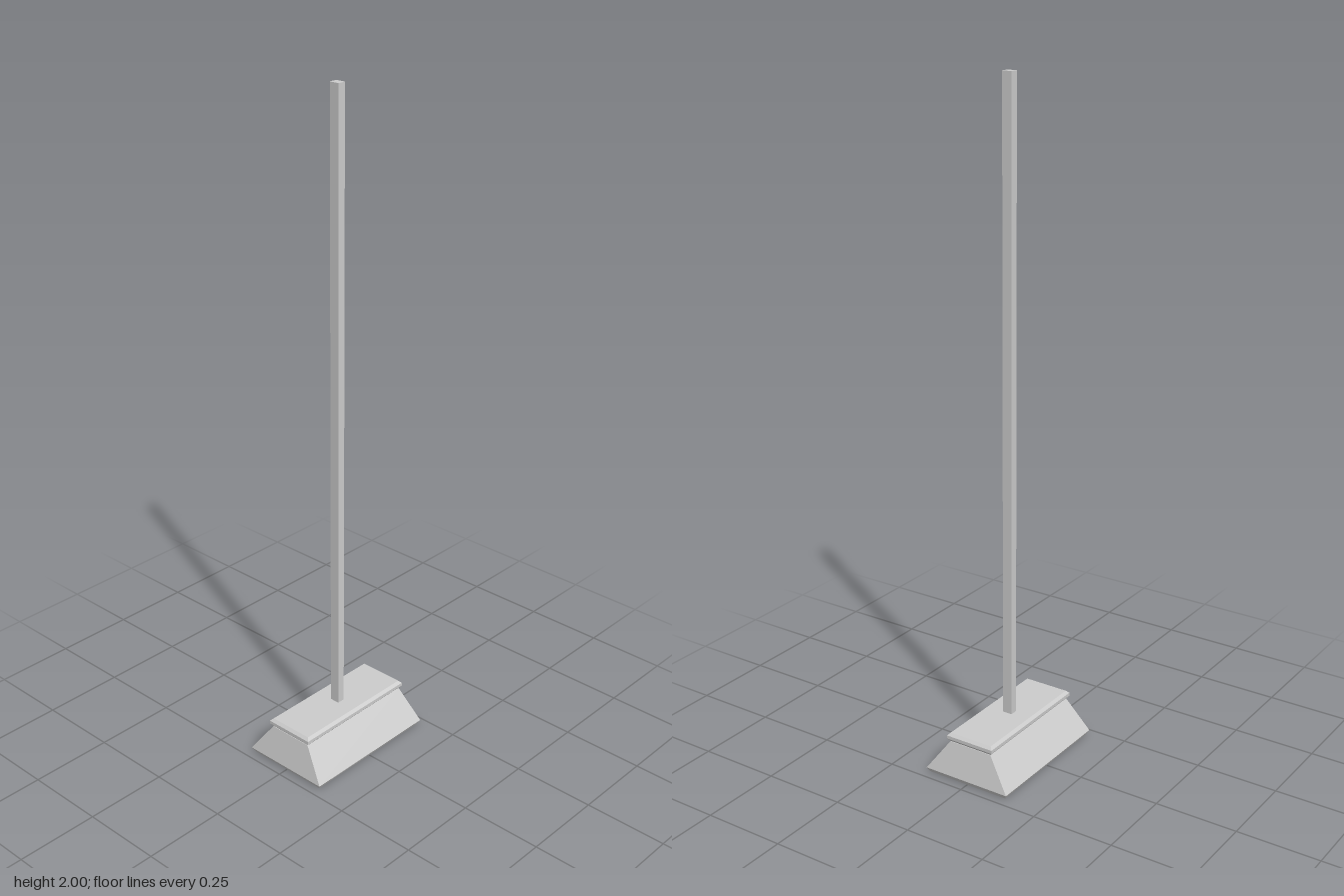
import * as THREE from 'three';

const material = new THREE.MeshStandardMaterial({ color: 0xcccccc, flatShading: true });

// Closed solid lofted through rectangular rings [y, halfWidth, halfDepth], bottom to top
function rectLoft(name, rings) {
  const positions = [];
  const corners = rings.map(([y, w, d]) => [[-w, y, d], [w, y, d], [w, y, -d], [-w, y, -d]]);
  const quad = (a, b, c, d) => positions.push(...a, ...b, ...c, ...a, ...c, ...d);
  for (let i = 0; i < corners.length - 1; i++) {
    const lower = corners[i], upper = corners[i + 1];
    for (let k = 0; k < 4; k++) {
      const n = (k + 1) % 4;
      quad(lower[k], lower[n], upper[n], upper[k]);
    }
  }
  quad(...corners[corners.length - 1]);
  quad(...[...corners[0]].reverse());
  const geometry = new THREE.BufferGeometry();
  geometry.setAttribute('position', new THREE.Float32BufferAttribute(positions, 3));
  geometry.computeVertexNormals();
  const mesh = new THREE.Mesh(geometry, material);
  mesh.name = name;
  return mesh;
}

export function createModel() {
  const group = new THREE.Group();
  group.name = 'broom';

  // Flared bristles with a chamfered lower edge
  group.add(rectLoft('bristles', [
    [0, 0.132, 0.218],
    [0.014, 0.14, 0.226],
    [0.112, 0.07, 0.202],
  ]));

  // Bevelled block that holds the bristles
  group.add(rectLoft('headBlock', [
    [0.112, 0.07, 0.2],
    [0.121, 0.078, 0.208],
    [0.131, 0.078, 0.208],
    [0.139, 0.07, 0.2],
  ]));

  // Long square handle
  const handle = new THREE.Mesh(new THREE.BoxGeometry(0.03, 1.87, 0.024), material);
  handle.name = 'handle';
  handle.position.set(0, 1.065, -0.001);
  group.add(handle);

  return group;
}
